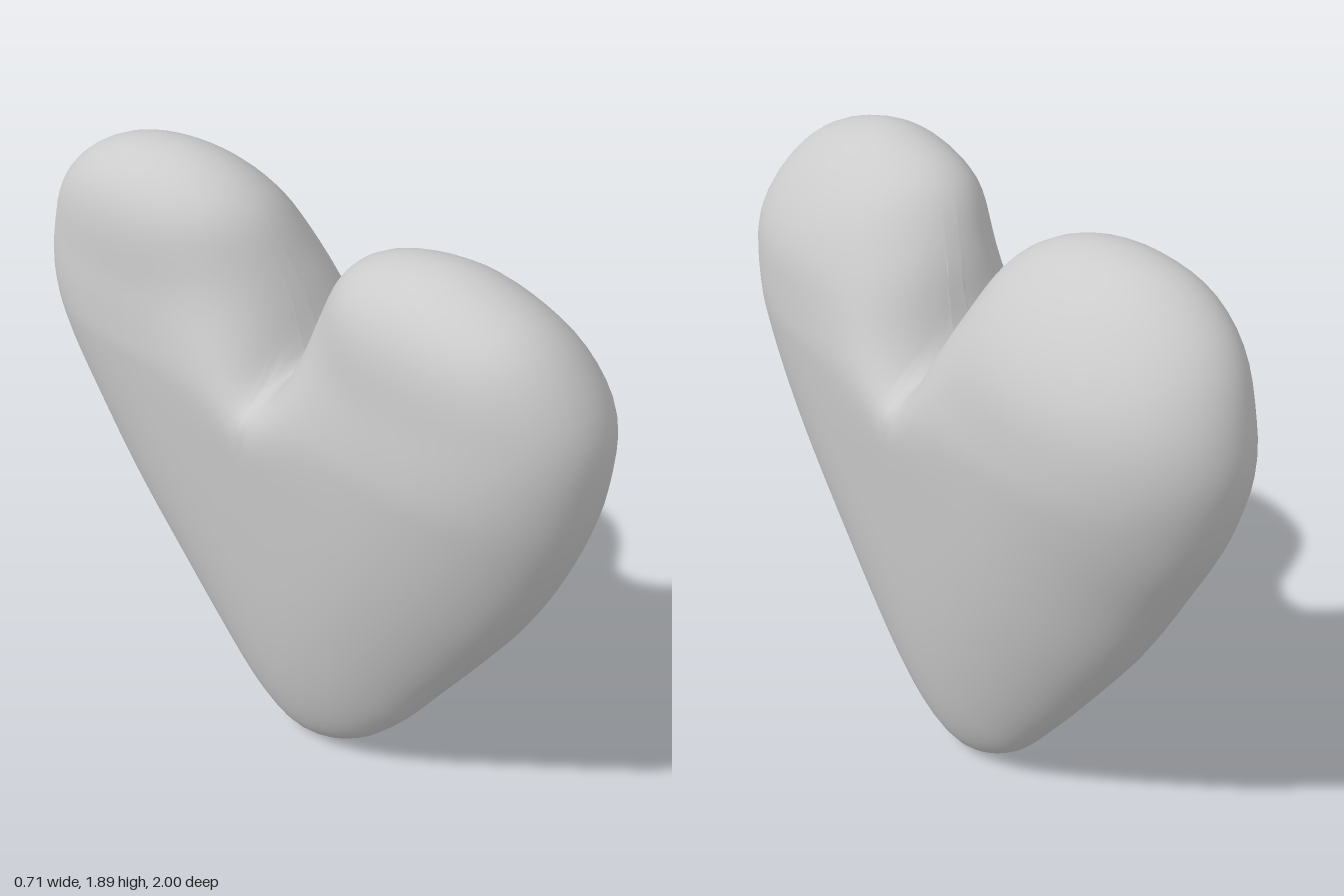
import * as THREE from 'three';
import { mergeVertices } from 'three/addons/utils/BufferGeometryUtils.js';

// Heart outline as (z, y), from the notch round the front lobe, tip and back lobe
const OUTLINE = [
  [0, 1.36], [0.05, 1.42], [0.13, 1.64], [0.25, 1.81], [0.5, 1.885], [0.68, 1.865], [0.86, 1.78],
  [0.99, 1.57], [0.985, 1.32], [0.915, 1.09], [0.8, 0.86], [0.655, 0.645], [0.51, 0.445], [0.365, 0.25],
  [0.21, 0.09], [0.07, 0.01], [-0.05, 0], [-0.21, 0.09], [-0.37, 0.27], [-0.55, 0.505],
  [-0.705, 0.725], [-0.835, 0.96], [-0.95, 1.2], [-0.995, 1.46], [-0.91, 1.7], [-0.74, 1.84],
  [-0.55, 1.885], [-0.36, 1.865], [-0.21, 1.78], [-0.11, 1.6], [-0.03, 1.41], [0, 1.36],
];
const NOTCH_Y = 1.36;
const CENTRE_Y = 1.15;
const SEGMENTS = 128;
const RINGS = 44;
const SAMPLES = 2400;

const curve = new THREE.CatmullRomCurve3(OUTLINE.map(([z, y]) => new THREE.Vector3(0, y, z)), false, 'centripetal');
curve.arcLengthDivisions = 1000;

// Smoothed distance from a point inside the heart to its outline
function edgeDistance(samples, step, z, y) {
  let sum = 0;
  for (const p of samples) {
    const dz = p.z - z, dy = p.y - y;
    const d2 = dz * dz + dy * dy;
    sum += step / Math.max(d2 * d2, 1e-12);
  }
  return Math.pow(sum / (Math.PI / 2), -1 / 3);
}

// Half thickness: softly rounded at the rim, fuller at the notch, slimmer toward the tip
function halfThickness(d, z, y) {
  const full = Math.min(0.31, 0.178 + 0.1 * y);
  const nearNotch = 1 - THREE.MathUtils.smoothstep(Math.hypot(z, y - NOTCH_Y), 0, 0.45);
  const u = 1 - Math.min(d / (0.45 - 0.3 * nearNotch), 1);
  return full * Math.sqrt(1 - u * u);
}

// Sideways twist of the middle surface
function middle(z, y) {
  return 0.02 + 0.1 * z - 0.04 * z * z - 0.06 * THREE.MathUtils.smoothstep(y, 1.5, 1.89);
}

function heartGeometry() {
  const rim = curve.getSpacedPoints(SEGMENTS).slice(0, SEGMENTS);
  const samples = curve.getSpacedPoints(SAMPLES);
  const step = curve.getLength() / SAMPLES;
  const positions = [];
  const index = [];

  // Rings run from the centre of the left face over the rim to the centre of the right face
  for (let k = 0; k <= RINGS; k++) {
    const s = Math.sin((Math.PI * k) / RINGS);
    const side = Math.sign(RINGS / 2 - k);
    for (const p of rim) {
      const z = p.z * s;
      const y = CENTRE_Y + (p.y - CENTRE_Y) * s;
      const h = side === 0 ? 0 : side * halfThickness(edgeDistance(samples, step, z, y), z, y);
      positions.push(middle(z, y) + h, y, z);
    }
  }
  for (let k = 0; k < RINGS; k++) {
    for (let j = 0; j < SEGMENTS; j++) {
      const n = (j + 1) % SEGMENTS;
      const a = k * SEGMENTS + j, b = k * SEGMENTS + n;
      const c = a + SEGMENTS, d = b + SEGMENTS;
      if (k < RINGS - 1) index.push(a, c, d);
      if (k > 0) index.push(a, d, b);
    }
  }
  const geometry = new THREE.BufferGeometry();
  geometry.setAttribute('position', new THREE.Float32BufferAttribute(positions, 3));
  geometry.setIndex(index);
  const merged = mergeVertices(geometry, 1e-5);
  merged.computeVertexNormals();
  return merged;
}

export function createModel() {
  const group = new THREE.Group();
  const heart = new THREE.Mesh(heartGeometry(), new THREE.MeshStandardMaterial({ color: 0xcccccc }));
  heart.name = 'heart';
  group.add(heart);
  return group;
}
